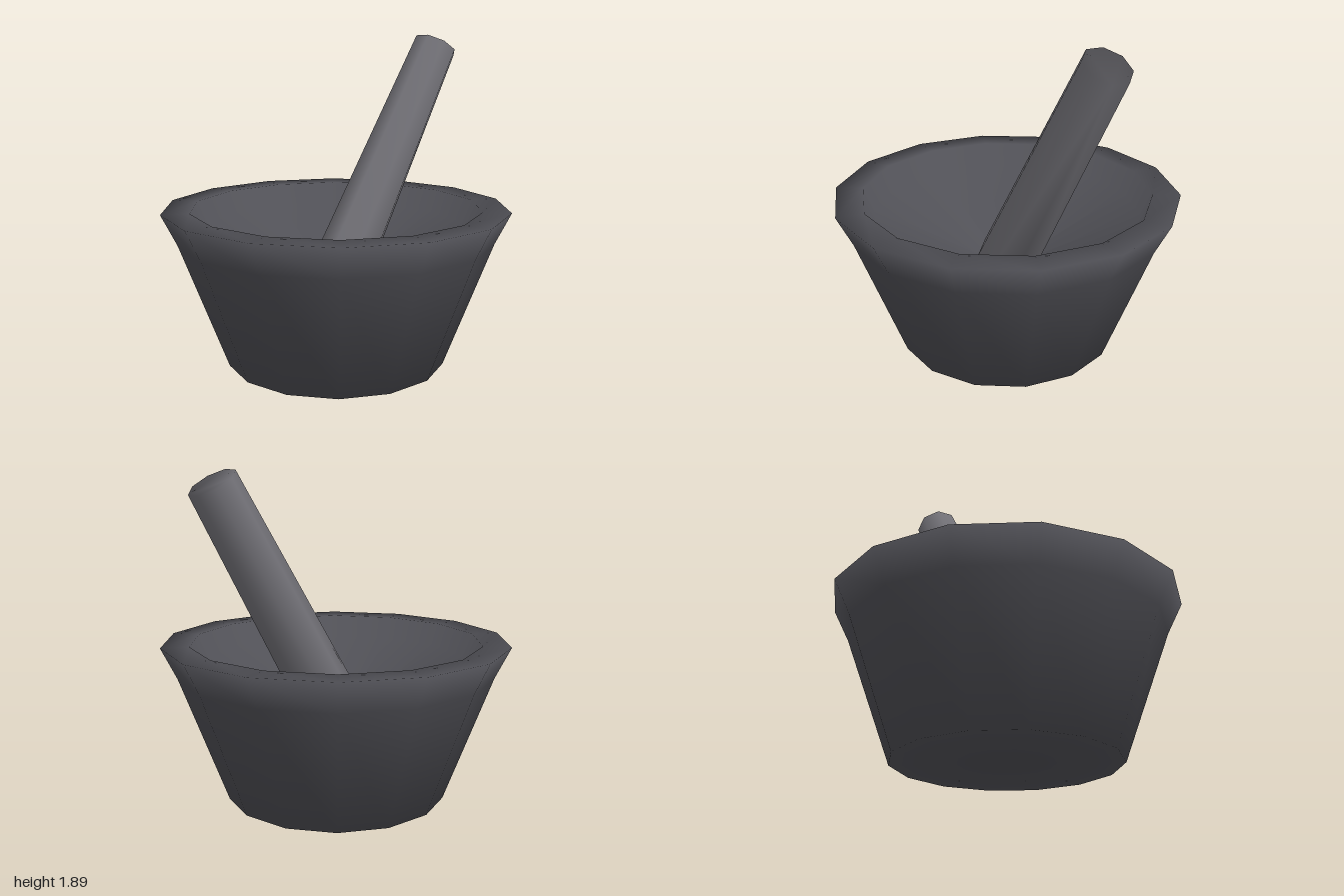
import * as THREE from 'three';
import { mergeVertices } from 'three/addons/utils/BufferGeometryUtils.js';
import { ConvexGeometry } from 'three/addons/geometries/ConvexGeometry.js';

function part(name, geometry, color) {
  const mesh = new THREE.Mesh(geometry, new THREE.MeshStandardMaterial({ color }));
  mesh.name = name;
  return mesh;
}

// Regular polygon of points at a given height
function ring(radius, y, sides) {
  return Array.from({ length: sides }, (_, i) => {
    const a = (i / sides) * Math.PI * 2;
    return new THREE.Vector3(radius * Math.cos(a), y, radius * Math.sin(a));
  });
}

// Tapered shaft with flat ends, shaded smoothly over its edges
function taperedShaft(bottomRadius, topRadius, length, sides) {
  const hull = new ConvexGeometry([...ring(bottomRadius, 0, sides), ...ring(topRadius, length, sides)]);
  hull.deleteAttribute('normal');
  const smooth = mergeVertices(hull);
  smooth.computeVertexNormals();
  return smooth;
}

export function createModel() {
  const group = new THREE.Group();
  group.name = 'mortarAndPestle';

  // Bowl: flat base, flaring wall, broad rim and shallow dished inside
  const profile = [
    [0, 0], [0.635, 0], [0.91, 0.73], [1, 0.91],
    [0.84, 0.91], [0.78, 0.78], [0, 0.42],
  ].map(([r, y]) => new THREE.Vector2(r, y));
  group.add(part('mortarBowl', new THREE.LatheGeometry(profile, 14, Math.PI / 2), 0x505056));

  // Pestle: flat-ended shaft leaning to the back left
  const foot = new THREE.Vector3(0, 0.47, 0);
  const axis = new THREE.Vector3(0.725, 1.82, -0.36).sub(foot);
  const pestle = part('pestle', taperedShaft(0.18, 0.135, axis.length(), 8), 0x737278);
  pestle.position.copy(foot);
  pestle.quaternion.setFromUnitVectors(new THREE.Vector3(0, 1, 0), axis.normalize());
  group.add(pestle);

  return group;
}
